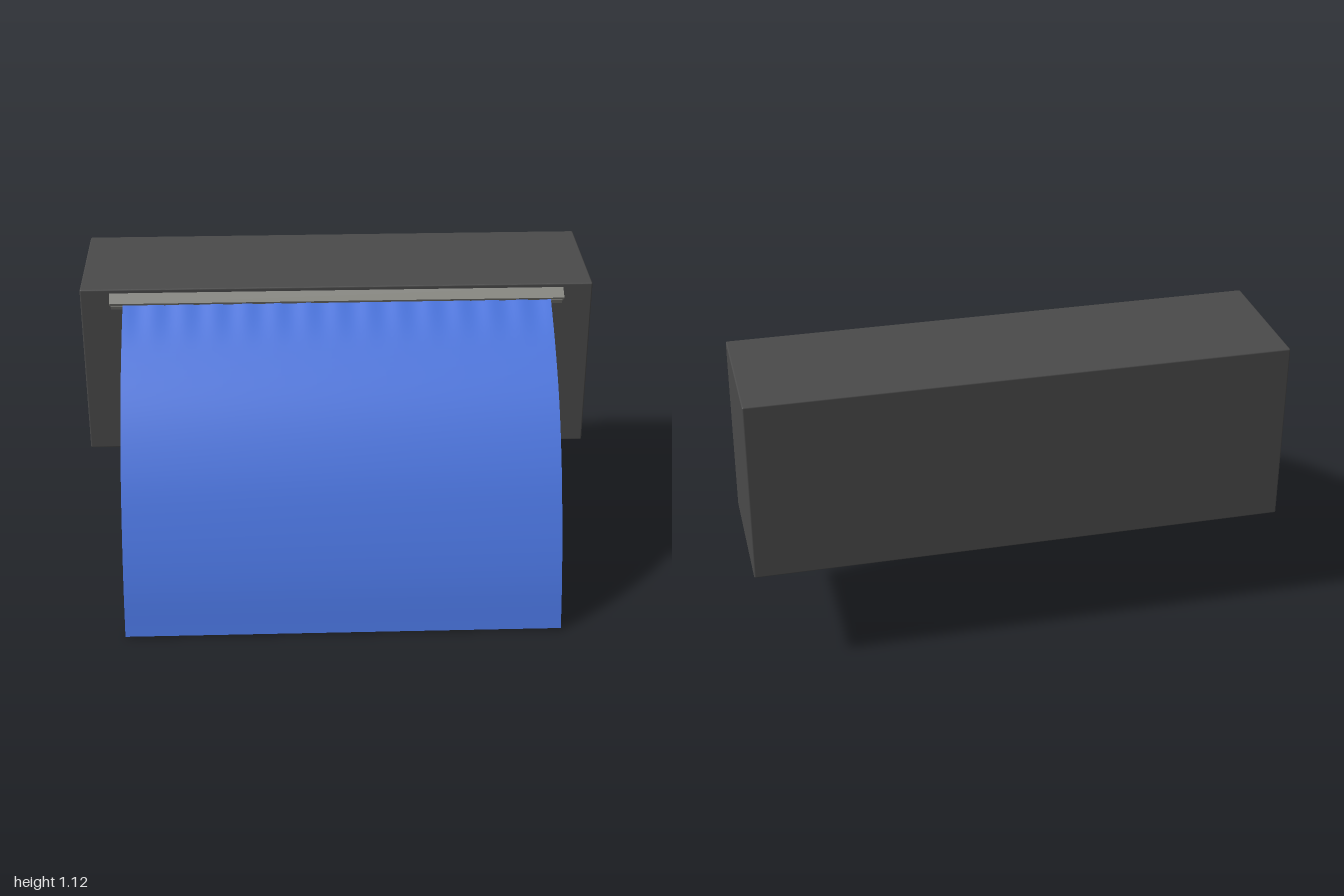
import * as THREE from 'three';
import { RoundedBoxGeometry } from 'three/addons/geometries/RoundedBoxGeometry.js';

function material(name, color) {
  const m = new THREE.MeshStandardMaterial({ color });
  m.name = name;
  return m;
}

// Thick sheet bent along a curve in the y-z plane, rippled close to the slot
function sheetGeometry(width, thickness) {
  const path = new THREE.CatmullRomCurve3([
    [1.092, -0.13], [1.063, -0.085], [0.95, 0.083], [0.79, 0.262],
    [0.6, 0.4], [0.4, 0.5], [0.2, 0.575], [0.01, 0.623],
  ].map(([y, z]) => new THREE.Vector3(0, y, z)));
  const geo = new THREE.BoxGeometry(width, 1, 1, 112, 1, 40);
  const pos = geo.attributes.position;
  for (let i = 0; i < pos.count; i++) {
    const x = pos.getX(i);
    const t = THREE.MathUtils.clamp(pos.getZ(i) + 0.5, 0, 1);
    const p = path.getPointAt(t);
    const d = path.getTangentAt(t);
    const fade = 1 - THREE.MathUtils.smoothstep(t, 0.05, 0.2);
    const ripple = 0.002 * fade * Math.cos((x / width) * Math.PI * 28);
    const off = pos.getY(i) * thickness + ripple;
    pos.setXYZ(i, x, p.y + d.z * off, p.z - d.y * off);
  }
  geo.computeVertexNormals();
  return geo;
}

export function createModel() {
  const group = new THREE.Group();
  const charcoal = material('charcoal casing', 0x4a4a4a);
  const grey = material('grey lip', 0x85857f);
  const blue = material('blue sheet', 0x4a75e0);

  const add = (name, geo, mat, parent = group) => {
    const mesh = new THREE.Mesh(geo, mat);
    mesh.name = name;
    parent.add(mesh);
    return mesh;
  };

  // Casing block
  add('casing', new RoundedBoxGeometry(2, 0.7, 0.532, 2, 0.006), charcoal)
    .position.set(0, 0.775, -0.372);

  // Slot lips above and below the sheet, tilted along its exit direction
  const slot = new THREE.Group();
  slot.name = 'slot';
  slot.position.set(0, 1.06, -0.079);
  slot.rotation.x = 0.57;
  group.add(slot);
  add('upperLip', new THREE.BoxGeometry(1.77, 0.013, 0.05), grey, slot)
    .position.set(0, 0.0205, -0.025);
  add('lowerLip', new THREE.BoxGeometry(1.76, 0.02, 0.05), grey, slot)
    .position.set(0, -0.004, -0.027);

  // Curved sheet hanging out of the slot
  add('sheet', sheetGeometry(1.666, 0.032), blue);

  return group;
}
